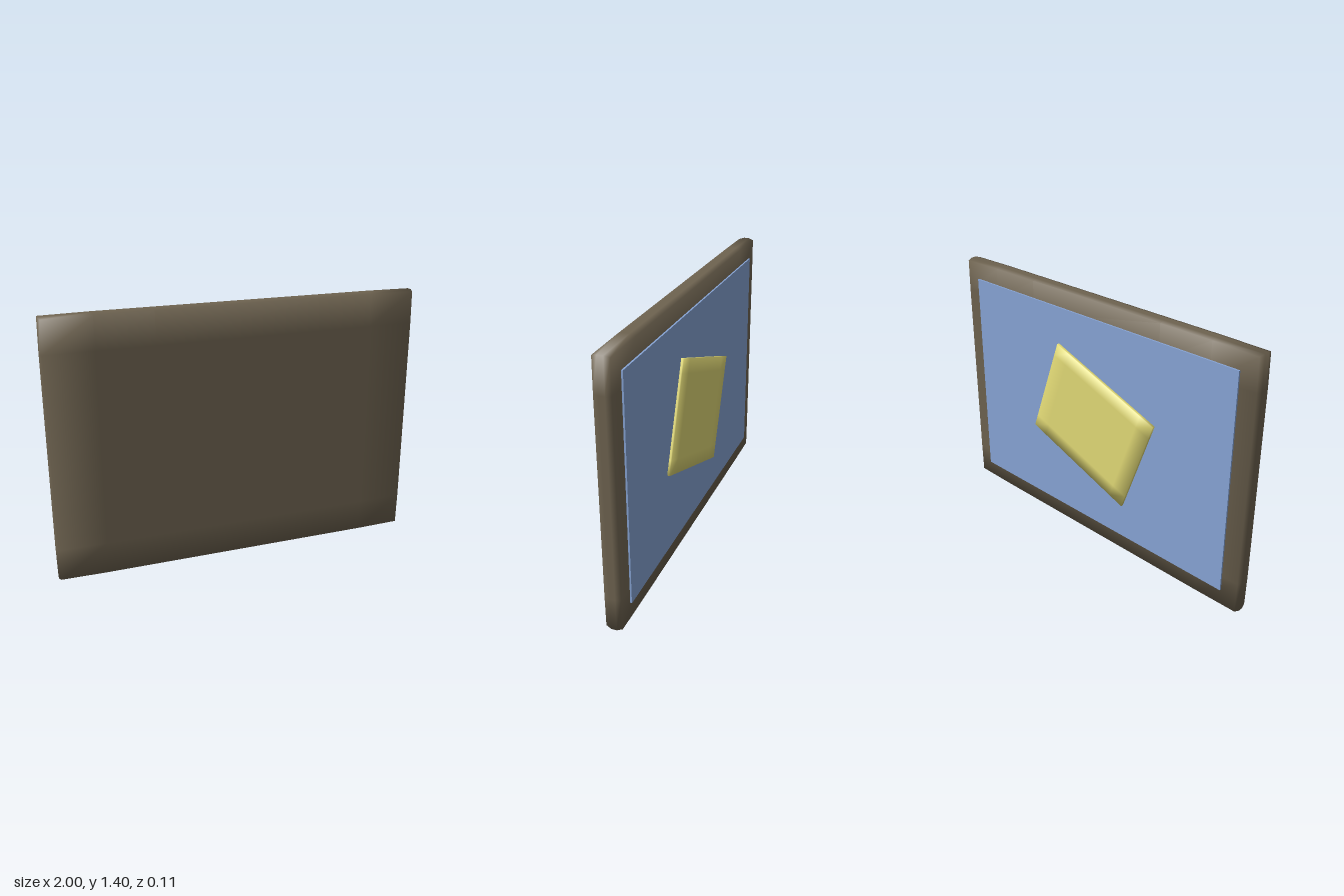
import * as THREE from 'three';
import { mergeVertices } from 'three/addons/utils/BufferGeometryUtils.js';

const frameWood = new THREE.MeshStandardMaterial({ color: 0x6e6350 });
frameWood.name = 'brown frame';
const panelBlue = new THREE.MeshStandardMaterial({ color: 0x86a3d4 });
panelBlue.name = 'blue panel';
const plateYellow = new THREE.MeshStandardMaterial({ color: 0xe0d875 });
plateYellow.name = 'yellow plate';

// Soft slab: a box with inset front and back rims and normals that
// lean outwards on every edge, so the shading rolls smoothly over it.
function softSlab(w, h, d, bevel) {
  let geo = new THREE.BoxGeometry(w, h, d, 5, 5, 3);
  geo.deleteAttribute('normal');
  geo.deleteAttribute('uv');
  geo = mergeVertices(geo, 1e-5);
  const pos = geo.attributes.position;
  const normals = [];
  const side = (t) => (Math.abs(t) > 0.999 ? Math.sign(t) : 0);
  // moves the even grid lines (0.2, 0.6, 1) to 0.44, 0.74, 1
  const spread = (t) => Math.sign(t) * [0.44, 0.74, 1][Math.round((Math.abs(t) - 0.2) / 0.4)];
  for (let i = 0; i < pos.count; i++) {
    const u = pos.getX(i) / (w / 2), v = pos.getY(i) / (h / 2), s = pos.getZ(i) / (d / 2);
    const n = new THREE.Vector3(side(u), side(v), side(s));
    const inset = n.z !== 0 ? bevel : 0;
    // edges sag very slightly towards the corners
    const sagX = bevel * 0.4 * Math.abs(n.x * n.y);
    pos.setXYZ(i,
      spread(u) * w / 2 - n.x * (inset + sagX),
      spread(v) * h / 2 - n.y * (inset + sagX),
      (s * d) / 2 - n.z * 0.3 * bevel * Math.max(Math.abs(n.x), Math.abs(n.y)));
    n.normalize();
    normals.push(n);
  }
  geo.setAttribute('normal', new THREE.Float32BufferAttribute(normals.flatMap((n) => n.toArray()), 3));
  return geo;
}

function addPart(group, name, geometry, material, z) {
  const mesh = new THREE.Mesh(geometry, material);
  mesh.name = name;
  mesh.position.set(0, 0.7, z);
  group.add(mesh);
  return mesh;
}

export function createModel() {
  const model = new THREE.Group();
  model.name = 'framedPicture';

  // Frame board
  addPart(model, 'frame', softSlab(2, 1.4, 0.09, 0.008), frameWood, 0.011);

  // Thin picture panel on the back side
  addPart(model, 'picturePanel', new THREE.BoxGeometry(1.8, 1.2, 0.009), panelBlue, -0.0375);

  // Tilted plate in the middle of the panel
  const plate = addPart(model, 'tiltedPlate', softSlab(0.72, 0.59, 0.018, 0.0005), plateYellow, -0.048);
  plate.rotation.z = THREE.MathUtils.degToRad(20);

  return model;
}
